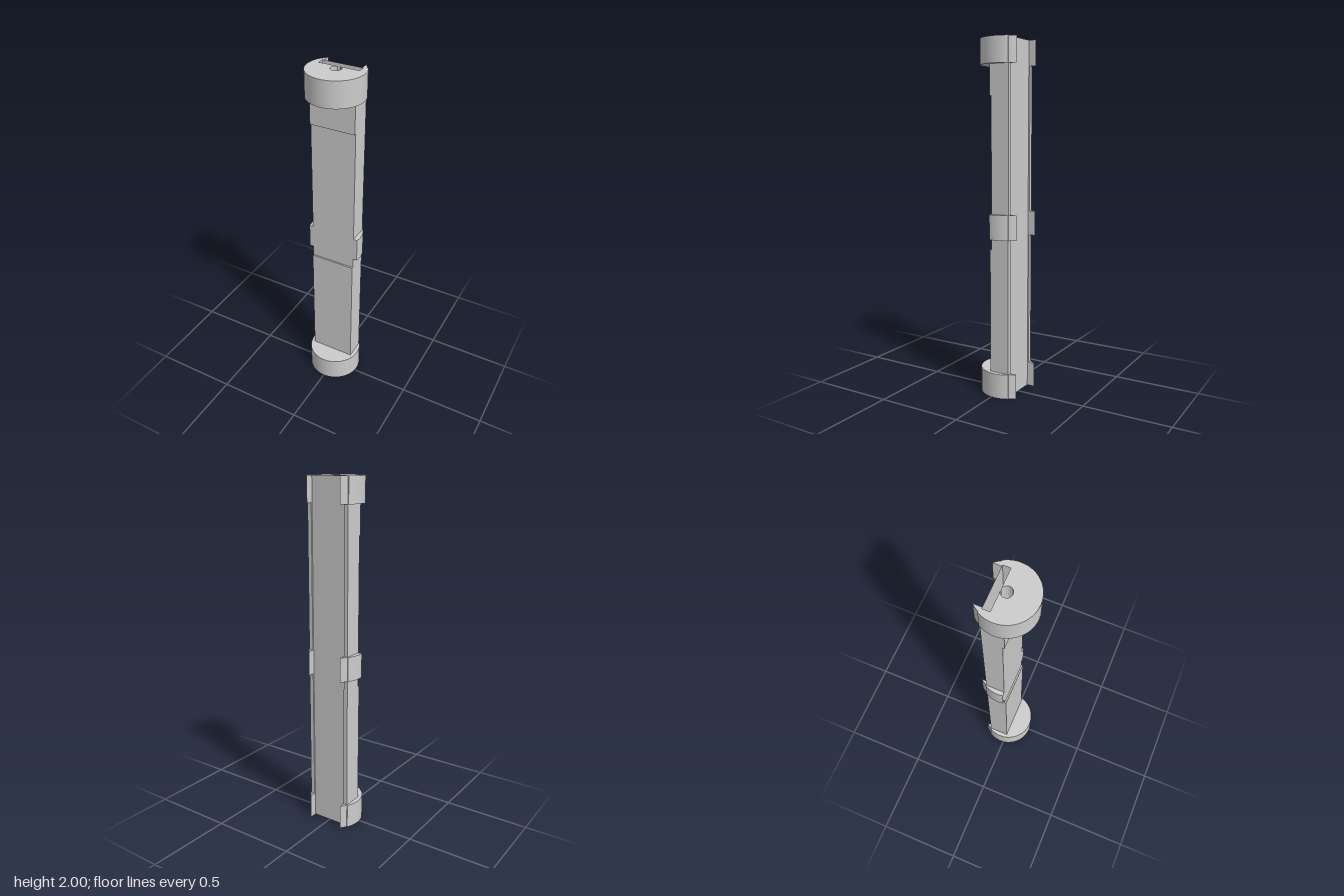
import * as THREE from 'three';
import { toCreasedNormals } from 'three/addons/utils/BufferGeometryUtils.js';

// Cross-sections are drawn in (x, b), where b = -z points to the back.
const CENTRE = 0.0215, RADIUS = 0.156, BORE = 0.029;
const FLOOR = 0.05, LIP = 0.09, STEP = 0.1;

// Points of an arc about the bore axis
function arc(radius, from, to, steps) {
  const points = [];
  for (let i = 0; i <= steps; i++) {
    const a = from + ((to - from) * i) / steps;
    points.push([radius * Math.cos(a), CENTRE + radius * Math.sin(a)]);
  }
  return points;
}

// Angle at which a circle about the bore axis reaches depth b
const angleAt = (b, radius) => Math.asin((b - CENTRE) / radius);

// Right half of the slot: lip, slot floor and half of the bore that opens into it
const slotSide = (back) => [
  [0.106, back], [0.106, LIP], [0.113, LIP], [0.113, FLOOR],
  ...arc(BORE, angleAt(FLOOR, BORE), -Math.PI / 2 + 0.03, 20),
];

// Round side wall with a small step, ending in the clip tip
const clipSide = (startAngle) => [
  ...arc(RADIUS, startAngle, angleAt(STEP, RADIUS), 22),
  [0.131, STEP], [0.1195, 0.1185],
  ...slotSide(0.135),
];

const bodySide = (front) => [[0.13, -front], [0.13, 0.098], ...slotSide(0.098)];

// Mirrors a right half into a closed section
function section(half) {
  const mirrored = half.map(([x, b]) => [-x, b]).reverse();
  return new THREE.Shape([...half, ...mirrored].map(([x, b]) => new THREE.Vector2(x, b)));
}

export function createModel() {
  const group = new THREE.Group();
  group.name = 'railHolder';
  const grey = new THREE.MeshStandardMaterial({ color: 0xcccccc, side: THREE.DoubleSide });
  grey.name = 'grey';

  function addPart(name, half, bottom, top) {
    const geometry = new THREE.ExtrudeGeometry(section(half), { depth: top - bottom, bevelEnabled: false });
    geometry.rotateX(-Math.PI / 2);
    geometry.translate(0, bottom, 0);
    const mesh = new THREE.Mesh(toCreasedNormals(geometry, 0.45), grey);
    mesh.name = name;
    group.add(mesh);
  }

  // Round end caps
  const capSide = clipSide(-Math.PI / 2 + 0.003);
  addPart('bottomCap', capSide, 0, 0.142);
  addPart('topCap', capSide, 1.859, 2);

  // Channel body, recessed at the front between the thicker ends
  addPart('lowerBody', bodySide(0.019), 0.142, 0.847);
  addPart('recessedBodyLower', bodySide(0.01), 0.847, 0.907);
  addPart('recessedBodyUpper', bodySide(0.01), 1.047, 1.692);
  addPart('upperBody', bodySide(0.019), 1.692, 1.859);

  // Middle clip, cut flat at the front
  addPart('middleClip', clipSide(angleAt(-0.01, RADIUS)), 0.907, 1.047);

  // Thin sheet held in the slot behind the lips, facing the back
  const sheet = new THREE.Mesh(new THREE.PlaneGeometry(0.226, 2), grey);
  sheet.name = 'slotSheet';
  sheet.rotation.y = Math.PI;
  sheet.position.set(0, 1, -0.0895);
  group.add(sheet);

  return group;
}
